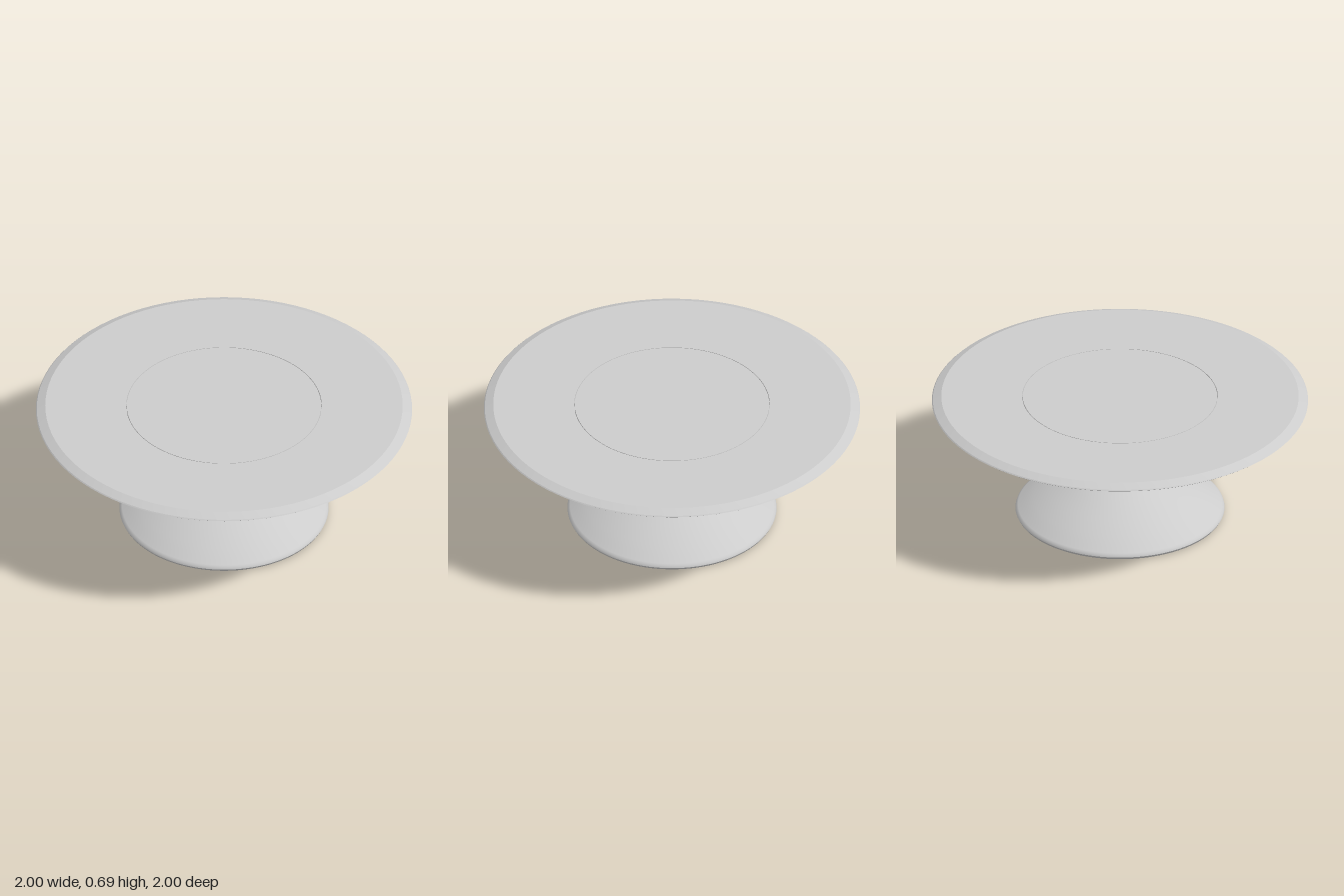
import * as THREE from 'three';
import { toCreasedNormals } from 'three/addons/utils/BufferGeometryUtils.js';

const grey = new THREE.MeshStandardMaterial({ color: 0xcccccc });
grey.name = 'light grey';

function part(name, geometry) {
  const mesh = new THREE.Mesh(geometry, grey);
  mesh.name = name;
  return mesh;
}

// Turned part: [radius, height] points running outward and upward
function turned(name, profile, crease, segments = 96) {
  const points = profile.map(([r, y]) => new THREE.Vector2(r, y));
  return part(name, toCreasedNormals(new THREE.LatheGeometry(points, segments), crease));
}

// Round bar between two points
function bar(name, from, to, radius) {
  const dir = to.clone().sub(from);
  const mesh = part(name, new THREE.CylinderGeometry(radius, radius, dir.length(), 24));
  mesh.position.copy(from).add(to).multiplyScalar(0.5);
  mesh.quaternion.setFromUnitVectors(new THREE.Vector3(0, 1, 0), dir.normalize());
  return mesh;
}

export function createModel() {
  const table = new THREE.Group();
  table.name = 'roundTable';

  // Bevelled ring top with a stepped opening
  table.add(turned('topRing', [
    [0.496, 0.63], [0.83, 0.63], [0.995, 0.663], [1, 0.667], [0.995, 0.672],
    [0.95, 0.692], [0.52, 0.692], [0.52, 0.672], [0.496, 0.672], [0.496, 0.63],
  ], 0.15));

  // Disc inset flush in the opening
  table.add(turned('topInset', [[0, 0.672], [0.517, 0.672], [0.517, 0.692], [0, 0.692]], 0.15));

  // Domed foot: rounded rim, sloping skirt and flared neck
  const skirt = new THREE.SplineCurve([
    [0.552, 0.03], [0.47, 0.083], [0.37, 0.136], [0.25, 0.187], [0.14, 0.222],
    [0.085, 0.243], [0.06, 0.267], [0.054, 0.295],
  ].map(([r, y]) => new THREE.Vector2(r, y))).getPoints(36).map((p) => [p.x, p.y]);
  table.add(turned('foot', [[0, 0], [0.54, 0], [0.55, 0.006], [0.556, 0.018], ...skirt, [0, 0.295]], 0.7));

  // Hub that receives the legs
  const hub = part('hub', new THREE.CylinderGeometry(0.046, 0.046, 0.055, 48));
  hub.position.y = 0.3175;
  table.add(hub);

  // Three slanted legs, one to the back, each with a flat fixing pad
  for (let i = 0; i < 3; i++) {
    const leg = new THREE.Group();
    leg.name = 'leg' + (i + 1);
    leg.add(bar('legBar', new THREE.Vector3(0, 0.308, -0.02), new THREE.Vector3(0, 0.642, -0.582), 0.019));
    const pad = part('legPad', new THREE.CylinderGeometry(1, 1, 0.008, 32));
    pad.scale.set(0.025, 1, 0.055);
    pad.position.set(0, 0.627, -0.56);
    leg.add(pad);
    leg.rotation.y = (i * Math.PI * 2) / 3;
    table.add(leg);
  }

  return table;
}
